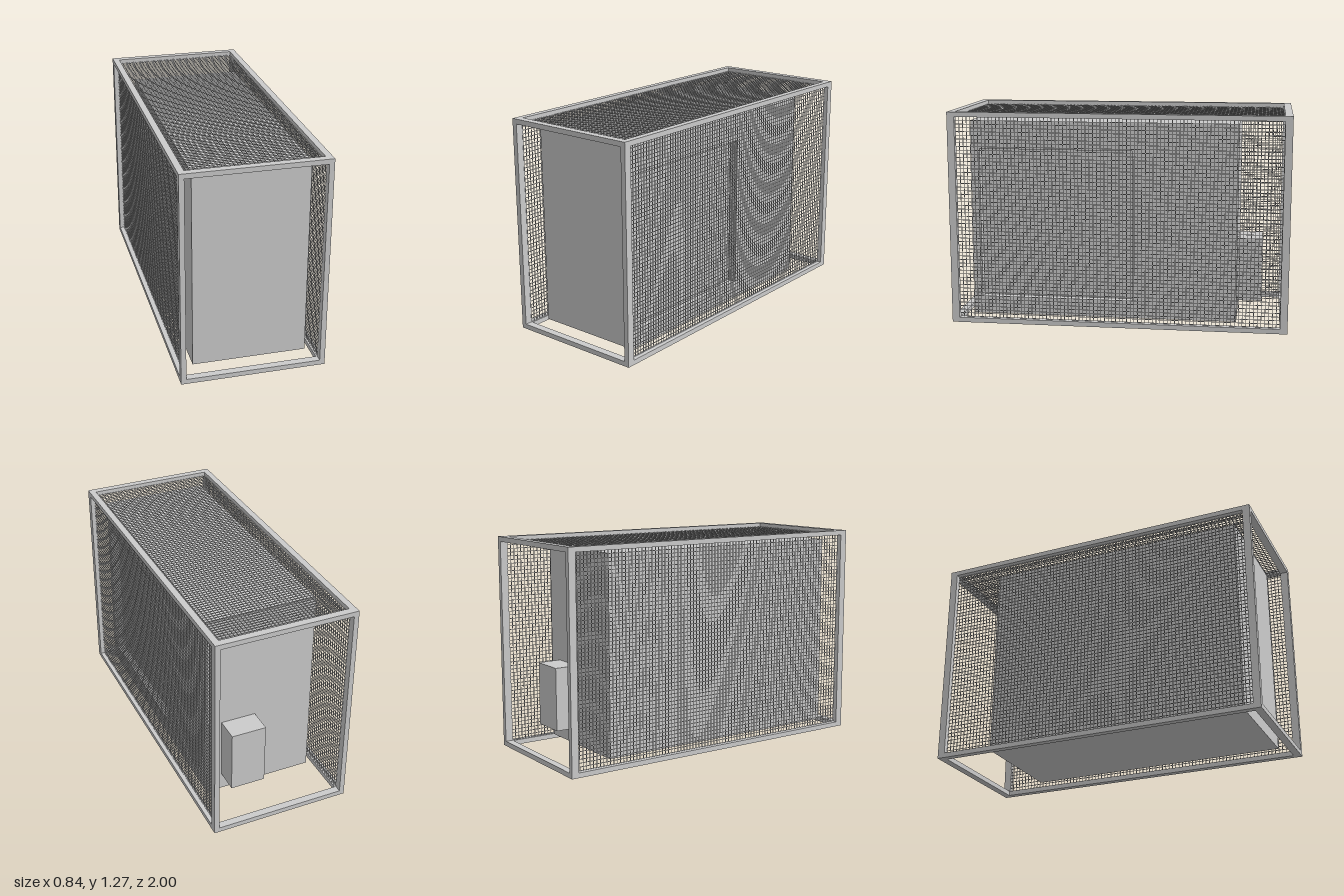
import * as THREE from 'three';
import { mergeGeometries } from 'three/addons/utils/BufferGeometryUtils.js';

const material = new THREE.MeshStandardMaterial({ color: 0xcccccc });

// Box spanning two opposite corners
function span(x0, x1, y0, y1, z0, z1) {
  return new THREE.BoxGeometry(x1 - x0, y1 - y0, z1 - z0)
    .translate((x0 + x1) / 2, (y0 + y1) / 2, (z0 + z1) / 2);
}

function add(parent, name, geometry) {
  const mesh = new THREE.Mesh(geometry, material);
  mesh.name = name;
  parent.add(mesh);
  return mesh;
}

// Flat wire grid in the XY plane, centred on the origin
function wireGrid(width, height, pitch, wire) {
  const parts = [];
  const h = wire / 2;
  const columns = Math.round(width / pitch);
  const rows = Math.round(height / pitch);
  for (let i = 0; i <= columns; i++) {
    const x = -width / 2 + (i * width) / columns;
    parts.push(span(x - h, x + h, -height / 2, height / 2, -h, h));
  }
  for (let j = 0; j <= rows; j++) {
    const y = -height / 2 + (j * height) / rows;
    parts.push(span(-width / 2, width / 2, y - h, y + h, -h, h));
  }
  return mergeGeometries(parts);
}

export function createModel() {
  const model = new THREE.Group();
  model.name = 'cagedCabinet';

  const X = 0.419, H = 1.268, Z = 1;
  const postX = 0.03, postZ = 0.044, railX = 0.038, railY = 0.029;

  // Outer frame: four posts, four long rails, four cross rails
  const frame = new THREE.Group();
  frame.name = 'frame';
  model.add(frame);
  for (const s of [-1, 1]) {
    for (const e of [-1, 1]) {
      const post = add(frame, 'cornerPost', new THREE.BoxGeometry(postX, H - 2 * railY, postZ));
      post.position.set(s * (X - postX / 2), H / 2, e * (Z - postZ / 2));
    }
  }
  for (const [level, y] of [['bottom', railY / 2], ['top', H - railY / 2]]) {
    for (const s of [-1, 1]) {
      const side = add(frame, level + 'SideRail', new THREE.BoxGeometry(railX, railY, 2 * (Z - postZ)));
      side.position.set(s * (X - railX / 2), y, 0);
      const cross = add(frame, level + 'CrossRail', new THREE.BoxGeometry(2 * X, railY, postZ));
      cross.position.set(0, y, s * (Z - postZ / 2));
    }
  }

  // Wire mesh on both sides and the top
  const pitch = 0.022, wire = 0.0035;
  const length = 2 * (Z - postZ);
  const sideGrid = wireGrid(length, H - 2 * railY, pitch, wire);
  for (const [name, x] of [['rightWireMesh', -0.389], ['leftWireMesh', 0.392]]) {
    const grid = add(model, name, sideGrid);
    grid.rotation.y = Math.PI / 2;
    grid.position.set(x, H / 2, 0);
  }
  const roof = add(model, 'topWireMesh', wireGrid(2 * (X - railX), length, pitch, wire));
  roof.rotation.x = -Math.PI / 2;
  roof.position.y = H - railY + 0.004;

  // Cabinet body with a recessed panel on its +x side
  const x0 = -0.325, x1 = 0.337, y0 = 0.04, y1 = 1.212, z0 = -0.7, z1 = 0.88;
  const recess = 0.05;
  add(model, 'cabinetBody', span(x0, x1 - recess, y0, y1, z0, z1));

  const rectangle = (Type, a, b, c, d) => new Type([
    new THREE.Vector2(a, c), new THREE.Vector2(b, c),
    new THREE.Vector2(b, d), new THREE.Vector2(a, d),
  ]);
  const surround = rectangle(THREE.Shape, z0, z1, y0, y1);
  surround.holes.push(rectangle(THREE.Path, -0.08, 0.83, 0.145, 1.045));
  const panel = add(model, 'recessSurround',
    new THREE.ExtrudeGeometry(surround, { depth: recess, bevelEnabled: false }));
  panel.rotation.y = -Math.PI / 2;
  panel.position.x = x1;

  // Small box on the back
  add(model, 'rearBox', span(0.033, 0.242, 0.147, 0.522, -0.843, z0));

  return model;
}
